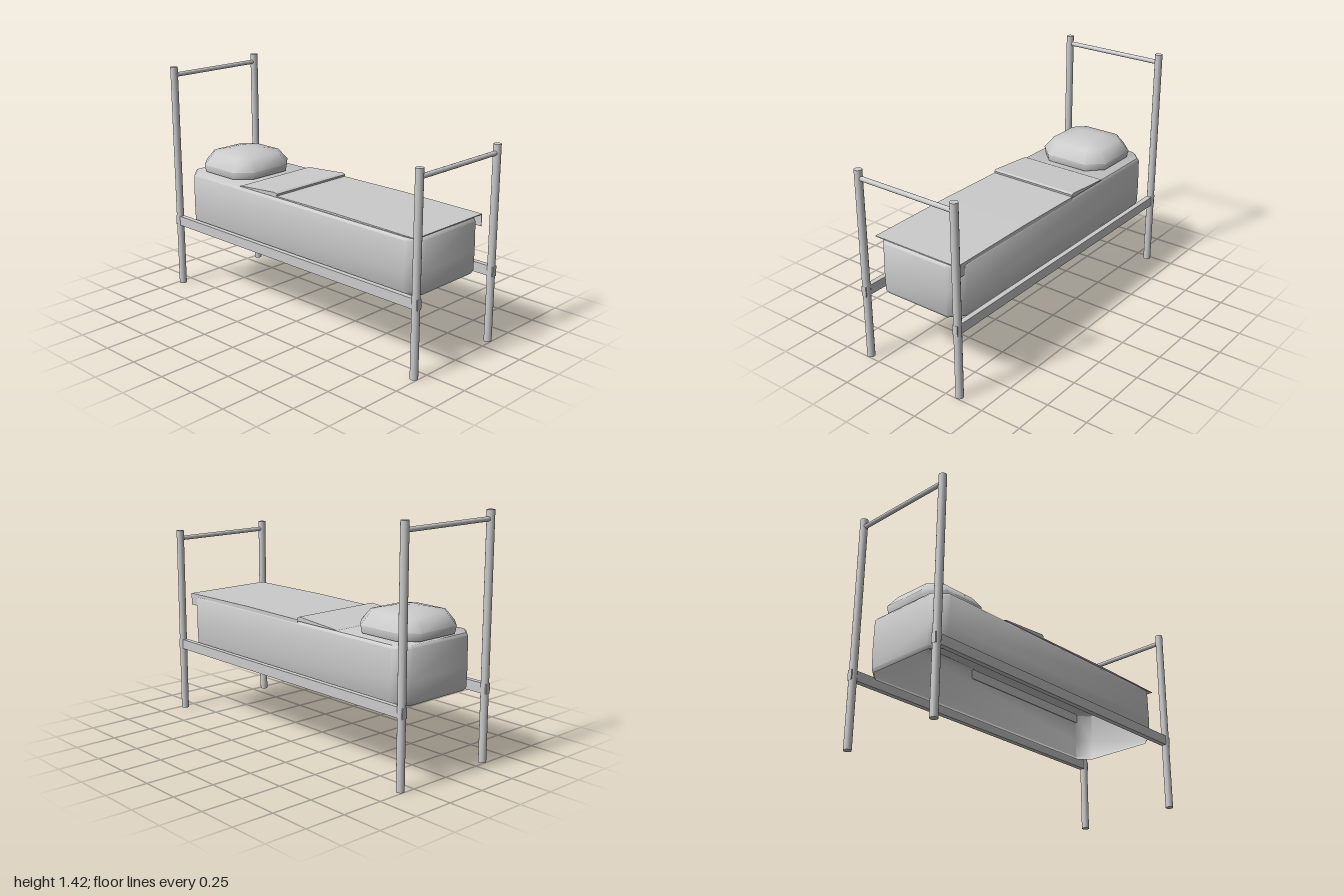
import * as THREE from 'three';
import { toCreasedNormals } from 'three/addons/utils/BufferGeometryUtils.js';

const material = new THREE.MeshStandardMaterial({ color: 0xcccccc });
const thinMaterial = new THREE.MeshStandardMaterial({ color: 0xcccccc, side: THREE.DoubleSide });

// Stacks chamfered rectangles: each ring is [y, half length x, half width z, corner cut].
// The last ring is closed with a centre point at capY; the first only if closeBottom is set.
function chamferedLoft(rings, capY, closeBottom) {
  const positions = [];
  const indices = [];
  for (const [y, hx, hz, cut] of rings) {
    const corners = [
      [hx, hz - cut], [hx - cut, hz], [cut - hx, hz], [-hx, hz - cut],
      [-hx, cut - hz], [cut - hx, -hz], [hx - cut, -hz], [hx, cut - hz],
    ];
    for (const [x, z] of corners) positions.push(x, y, z);
  }
  for (let r = 0; r < rings.length - 1; r++) {
    for (let i = 0; i < 8; i++) {
      const a = r * 8 + i, b = r * 8 + (i + 1) % 8;
      indices.push(a, a + 8, b, b, a + 8, b + 8);
    }
  }
  const last = (rings.length - 1) * 8;
  const top = positions.length / 3;
  positions.push(0, capY, 0, 0, rings[0][0], 0);
  for (let i = 0; i < 8; i++) {
    const j = (i + 1) % 8;
    indices.push(last + i, top, last + j);
    if (closeBottom) indices.push(i, j, top + 1);
  }
  const geometry = new THREE.BufferGeometry();
  geometry.setAttribute('position', new THREE.Float32BufferAttribute(positions, 3));
  geometry.setIndex(indices);
  return toCreasedNormals(geometry, 0.9);
}

export function createModel() {
  const group = new THREE.Group();
  const add = (name, geometry, x = 0, y = 0, z = 0, mat = material) => {
    const mesh = new THREE.Mesh(geometry, mat);
    mesh.name = name;
    mesh.position.set(x, y, z);
    group.add(mesh);
    return mesh;
  };

  // Posts and crossbars at the head (-x) and foot (+x)
  const ends = [
    { name: 'head', x: -0.977, height: 1.42, barY: 1.37 },
    { name: 'foot', x: 0.977, height: 1.165, barY: 1.115 },
  ];
  for (const { name, x, height, barY } of ends) {
    for (const z of [-0.33, 0.33]) {
      add(name + 'Post', new THREE.CylinderGeometry(0.023, 0.023, height, 16), x, height / 2, z);
    }
    const bar = add(name + 'Crossbar', new THREE.CylinderGeometry(0.014, 0.014, 0.66, 12), x, barY, 0);
    bar.rotation.x = Math.PI / 2;
  }

  // Side rails running through the posts
  for (const z of [-0.33, 0.33]) {
    add('sideRail', new THREE.BoxGeometry(2, 0.06, 0.032), 0, 0.43, z);
  }

  // Mattress: a shell open underneath
  const mattress = chamferedLoft([
    [0.43, 0.925, 0.283, 0.07],
    [0.45, 0.936, 0.295, 0.075],
    [0.565, 0.938, 0.297, 0.075],
    [0.74, 0.936, 0.295, 0.075],
    [0.755, 0.925, 0.284, 0.07],
  ], 0.755, false);
  add('mattress', mattress, -0.002, 0, 0, thinMaterial);

  // Pillow
  const pillow = chamferedLoft([
    [0.76, 0.218, 0.225, 0.09],
    [0.805, 0.226, 0.234, 0.095],
    [0.875, 0.172, 0.18, 0.065],
    [0.894, 0.09, 0.09, 0.035],
  ], 0.904, true);
  add('pillow', pillow, -0.7, 0, 0);

  // Blanket with its upper end folded back
  const profile = new THREE.Shape([
    [-0.44, 0.758], [0.925, 0.758], [0.925, 0.763], [0.35, 0.769],
    [-0.118, 0.765], [-0.115, 0.778], [-0.13, 0.785], [-0.43, 0.763],
  ].map(([x, y]) => new THREE.Vector2(x, y)));
  const blanket = new THREE.ExtrudeGeometry(profile, { depth: 0.578, bevelEnabled: false });
  add('blanket', blanket, 0, 0, -0.292);

  // Blanket edge tucked down along the back
  add('blanketTuck', new THREE.BoxGeometry(1.04, 0.07, 0.004), 0.405, 0.725, -0.29);

  return group;
}
